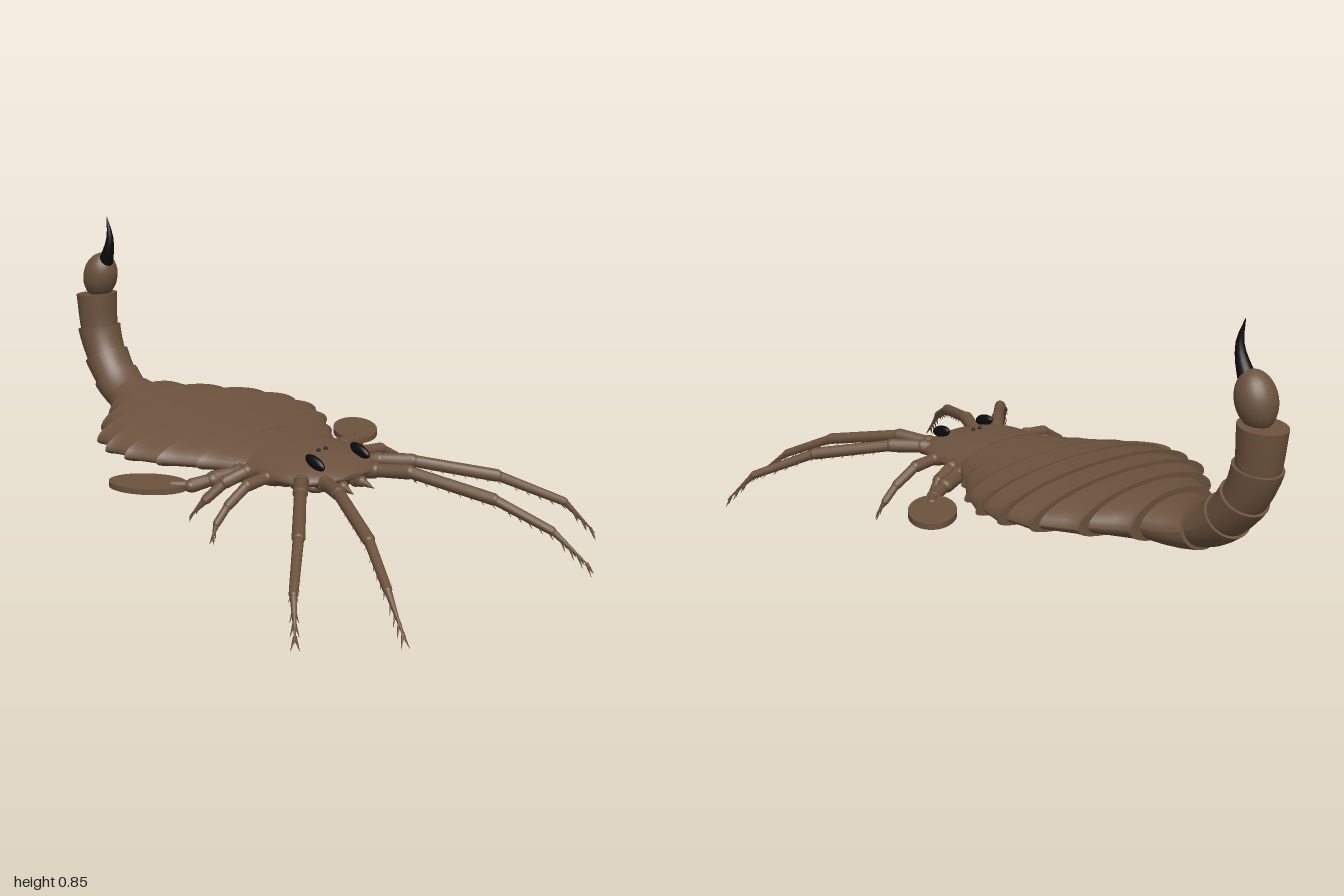
import * as THREE from 'three';

const brown = new THREE.MeshStandardMaterial({ color: 0x6b523d });
brown.name = 'shellBrown';
const black = new THREE.MeshStandardMaterial({ color: 0x0b0b0b });
black.name = 'black';

const V = (x, y, z) => new THREE.Vector3(x, y, z);

function add(group, name, geometry, material = brown) {
  const mesh = new THREE.Mesh(geometry, material);
  mesh.name = name;
  group.add(mesh);
  return mesh;
}

// Closed shell through rings { y, z, w, up, down, t:[ty,tz] } lying across the body
function loft(rings, n = 48) {
  const pos = [], idx = [];
  const pushRing = (r) => {
    const [ty, tz] = r.t || [0, -1];
    for (let j = 0; j <= n; j++) {
      const a = (j / n) * Math.PI * 2, s = Math.sin(a);
      const h = s * (s > 0 ? r.up : r.down);
      pos.push(Math.cos(a) * r.w, r.y - tz * h, r.z + ty * h);
    }
  };
  rings.forEach(pushRing);
  const m = n + 1;
  for (let i = 0; i < rings.length - 1; i++)
    for (let j = 0; j < n; j++) {
      const a = i * m + j, b = a + m;
      idx.push(a, b, a + 1, b, b + 1, a + 1);
    }
  // separate end caps keep the rims sharp
  [rings[0], rings[rings.length - 1]].forEach((r, end) => {
    const c = pos.length / 3;
    pos.push(0, r.y, r.z);
    pushRing(r);
    for (let j = 1; j <= n; j++) end ? idx.push(c, c + j + 1, c + j) : idx.push(c, c + j, c + j + 1);
  });
  const g = new THREE.BufferGeometry();
  g.setAttribute('position', new THREE.Float32BufferAttribute(pos, 3));
  g.setIndex(idx);
  g.computeVertexNormals();
  return g;
}

// Tapered rod from a to b
function rod(group, name, a, b, r1, r2, material = brown, sides = 12) {
  const d = b.clone().sub(a);
  const mesh = add(group, name, new THREE.CylinderGeometry(r2, r1, d.length(), sides), material);
  mesh.position.copy(a).addScaledVector(d, 0.5);
  mesh.quaternion.setFromUnitVectors(V(0, 1, 0), d.normalize());
  return mesh;
}

function ball(group, name, p, sx, sy, sz, material = brown) {
  const mesh = add(group, name, new THREE.SphereGeometry(1, 24, 16), material);
  mesh.position.copy(p);
  mesh.scale.set(sx, sy, sz);
  return mesh;
}

// Jointed limb with optional rows of spines on the outer joints
function limb(name, side, points, radii, spineFrom = 99, spineLength = 0.04) {
  const g = new THREE.Group();
  g.name = name;
  const p = points.map(([x, y, z]) => V(x * side, y, z));
  for (let i = 0; i < p.length - 1; i++) {
    const last = i === p.length - 2;
    rod(g, 'limbJoint', p[i], p[i + 1], radii[i] * 0.88, last ? 0.001 : radii[i + 1] * 1.08);
    if (i) ball(g, 'knuckle', p[i], radii[i], radii[i], radii[i]);
    if (i < spineFrom) continue;
    const dir = p[i + 1].clone().sub(p[i]).normalize();
    const across = dir.clone().cross(V(0, 1, 0)).normalize();
    const count = Math.max(2, Math.round(p[i].distanceTo(p[i + 1]) / 0.04));
    for (let k = 1; k <= count; k++) {
      const a = p[i].clone().lerp(p[i + 1], k / (count + 0.5));
      for (const s of [-1, 1]) {
        const d = dir.clone().multiplyScalar(0.75).addScaledVector(across, s * 0.4).add(V(0, -0.6, 0)).normalize();
        rod(g, 'spine', a, a.clone().addScaledVector(d, spineLength), 0.005, 0.0005, brown, 6);
      }
    }
  }
  return g;
}

export function createModel() {
  const model = new THREE.Group();
  model.name = 'seaScorpion';

  // Head shield: [z, half width, edge height, rise, depth]
  const head = [[0.398, 0.04, 0.208, 0.008, 0.006], [0.388, 0.09, 0.207, 0.018, 0.012], [0.36, 0.142, 0.205, 0.034, 0.022],
    [0.32, 0.175, 0.204, 0.046, 0.03], [0.26, 0.188, 0.203, 0.056, 0.035], [0.18, 0.192, 0.203, 0.061, 0.038], [0.11, 0.19, 0.203, 0.062, 0.038]];
  add(model, 'headShield', loft(head.map(([z, w, y, up, down]) => ({ z, w, y, up, down }))));

  // Overlapping body plates: [front z, rear z, front width, rear width, rise, depth]
  const plates = [[0.13, 0, 0.185, 0.28, 0.068, 0.04], [0.02, -0.105, 0.25, 0.355, 0.078, 0.042], [-0.085, -0.21, 0.33, 0.4, 0.086, 0.044],
    [-0.19, -0.31, 0.365, 0.402, 0.092, 0.046], [-0.29, -0.41, 0.37, 0.365, 0.092, 0.047],
    [-0.39, -0.515, 0.345, 0.278, 0.09, 0.05], [-0.495, -0.62, 0.255, 0.175, 0.086, 0.055]];
  plates.forEach(([z0, z1, w0, w1, rise, depth]) => {
    const rings = [0, 0.3, 0.6, 0.85, 1].map((t) => {
      const lip = t === 1 ? 0.01 : 0;
      const k = 0.87 + 0.13 * t;
      return { z: z0 + (z1 - z0) * t, w: w0 + (w1 - w0) * t + lip - 0.008 * t, y: 0.202, up: rise * k, down: depth * (0.92 + 0.08 * t) };
    });
    add(model, 'bodyPlate', loft(rings));
  });

  // Curled tail of flared rings following a curve
  const path = new THREE.CatmullRomCurve3([V(0, 0.205, -0.59), V(0, 0.205, -0.69), V(0, 0.235, -0.78), V(0, 0.315, -0.865),
    V(0, 0.42, -0.918), V(0, 0.553, -0.932)]);
  const cuts = [0, 0.25, 0.44, 0.6, 0.79, 1];
  for (let i = 0; i < 5; i++) {
    const u0 = Math.max(0, cuts[i] - 0.03), u1 = cuts[i + 1];
    const w0 = [0.15, 0.078, 0.074, 0.069, 0.065][i], w1 = [0.092, 0.084, 0.08, 0.076, 0.071][i];
    const rings = [0, 0.25, 0.5, 0.75, 0.92, 1].map((t) => {
      const u = u0 + (u1 - u0) * t, p = path.getPointAt(u), d = path.getTangentAt(u);
      const w = w0 + (w1 - w0) * t, h = 0.064 + 0.009 * t;
      return { y: p.y, z: p.z, w, up: h, down: h, t: [d.y, d.z] };
    });
    add(model, 'tailRing', loft(rings, 32));
  }

  // Bulb and curved sting
  ball(model, 'tailBulb', V(0, 0.62, -0.905), 0.06, 0.084, 0.06).rotation.x = 0.3;
  const stingPath = new THREE.CatmullRomCurve3([V(0, 0.665, -0.875), V(0, 0.71, -0.853), V(0, 0.765, -0.84), V(0, 0.835, -0.857)]);
  const stingRings = [0, 0.15, 0.3, 0.45, 0.6, 0.75, 0.9, 1].map((u) => {
    const p = stingPath.getPointAt(u), d = stingPath.getTangentAt(u), w = 0.027 * (1 - u) + 0.001;
    return { y: p.y, z: p.z, w, up: w, down: w, t: [d.y, d.z] };
  });
  add(model, 'sting', loft(stingRings, 16), black);

  for (const side of [1, -1]) {
    // Eyes
    const eye = ball(model, 'eye', V(0.092 * side, 0.255, 0.33), 0.014, 0.019, 0.042, black);
    eye.rotation.x = 0.25;
    ball(model, 'smallEye', V(0.014 * side, 0.26, 0.26), 0.006, 0.006, 0.006, black);

    // Pincers and mouth parts under the front edge
    model.add(limb('pincer', side, [[0.035, 0.185, 0.33], [0.038, 0.185, 0.395], [0.042, 0.175, 0.445]], [0.02, 0.017, 0.008]));
    ball(model, 'mouthPart', V(0.037 * side, 0.18, 0.37), 0.018, 0.018, 0.022);

    // Long spiny front legs
    model.add(limb('frontLeg', side, [[0.06, 0.185, 0.3], [0.1, 0.205, 0.39], [0.145, 0.215, 0.49], [0.255, 0.168, 0.73],
      [0.335, 0.095, 0.885], [0.38, 0.004, 0.996]], [0.024, 0.023, 0.021, 0.017, 0.012], 2));
    model.add(limb('secondLeg', side, [[0.09, 0.185, 0.27], [0.16, 0.215, 0.345], [0.23, 0.215, 0.42], [0.405, 0.178, 0.61],
      [0.55, 0.1, 0.755], [0.61, 0.006, 0.83]], [0.024, 0.023, 0.021, 0.018, 0.012], 2));

    // Short walking legs
    model.add(limb('thirdLeg', side, [[0.1, 0.185, 0.24], [0.2, 0.208, 0.235], [0.275, 0.2, 0.235], [0.35, 0.155, 0.238],
      [0.395, 0.11, 0.24], [0.42, 0.07, 0.25]], [0.022, 0.02, 0.018, 0.014, 0.011], 3, 0.025));
    model.add(limb('fourthLeg', side, [[0.1, 0.185, 0.16], [0.2, 0.205, 0.145], [0.27, 0.18, 0.125], [0.325, 0.13, 0.1],
      [0.365, 0.075, 0.07]], [0.024, 0.022, 0.019, 0.014], 3, 0.025));

    // Swimming paddle
    const arm = [[0.1, 0.18, 0.13], [0.2, 0.19, 0.105], [0.28, 0.18, 0.08], [0.345, 0.167, 0.055], [0.385, 0.165, 0.015]].map(([x, y, z]) => V(x * side, y, z));
    for (let i = 0; i < 4; i++) {
      const r = 0.03 - i * 0.004;
      rod(model, 'paddleArm', arm[i], arm[i + 1], r * 0.85, r);
      ball(model, 'paddleJoint', arm[i + 1], r, r * 0.9, r);
    }
    const paddle = add(model, 'paddle', new THREE.CylinderGeometry(1, 1, 1, 48));
    paddle.scale.set(0.073, 0.018, 0.122);
    paddle.rotation.y = side * (Math.PI - 0.68);
    paddle.position.set(0.43 * side, 0.165, -0.045);

    // Leg bases below the head
    [[0.06, 0.31], [0.08, 0.26], [0.09, 0.21]].forEach(([x, z]) => ball(model, 'legBase', V(x * side, 0.172, z), 0.045, 0.022, 0.028));
    ball(model, 'paddleBase', V(0.085 * side, 0.165, 0.15), 0.062, 0.027, 0.05);
  }
  return model;
}
